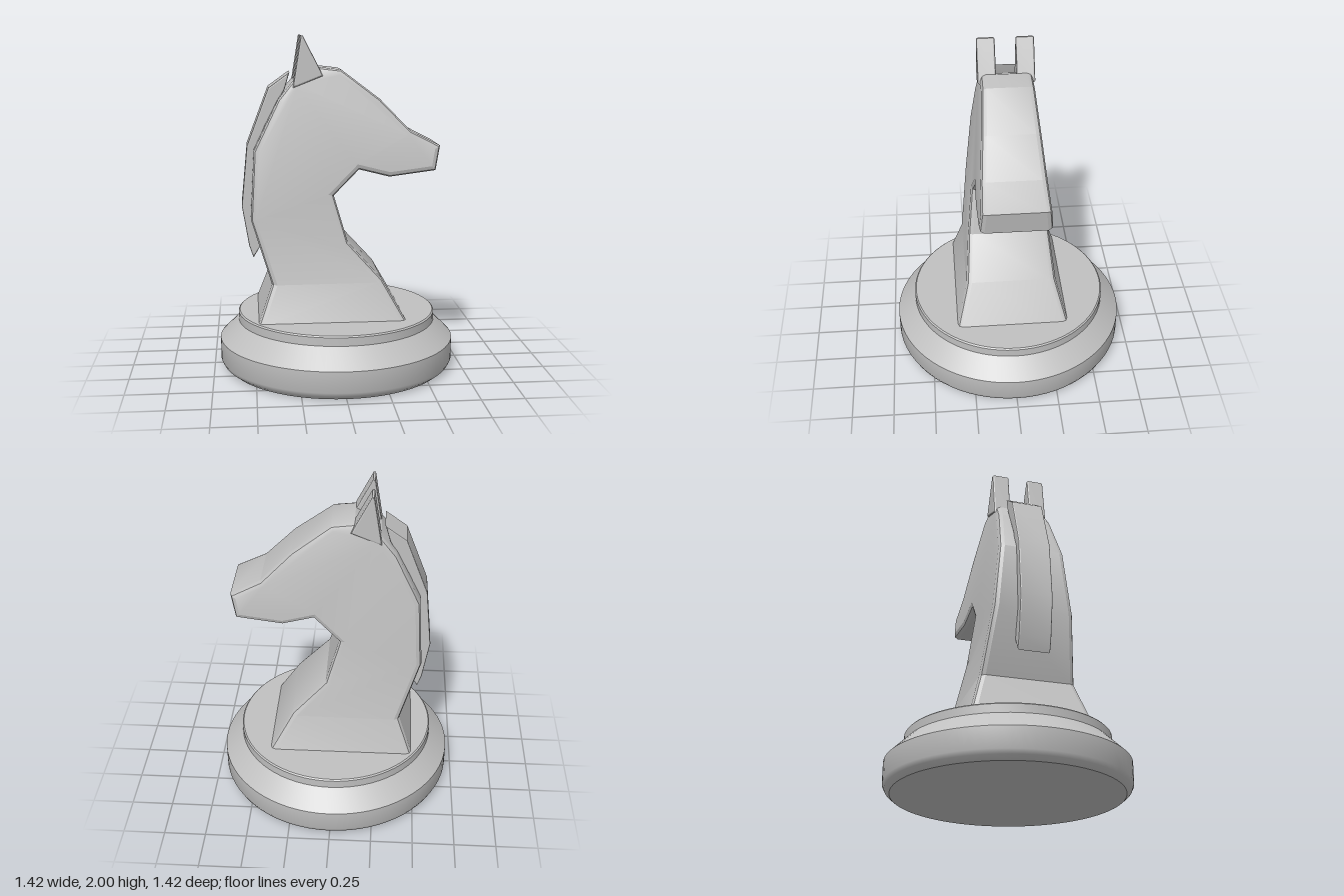
import * as THREE from 'three';
import { toCreasedNormals } from 'three/addons/utils/BufferGeometryUtils.js';

// Move a closed counter-clockwise outline inwards by d, with mitred corners.
function inset(pts, d) {
  const n = pts.length;
  const normal = (a, b) => new THREE.Vector2(b.y - a.y, a.x - b.x).normalize();
  return pts.map((p, i) => {
    const n1 = normal(pts[(i + n - 1) % n], p);
    const n2 = normal(p, pts[(i + 1) % n]);
    return p.clone().addScaledVector(n1.clone().add(n2), -d / (1 + n1.dot(n2)));
  });
}

// Bevelled slab from a side outline; halfWidth(y) tapers its thickness.
// capParts lists the outline indices of each flat area of the side faces.
function slab(outline, bevel, halfWidth, zCentre = 0, capParts = null) {
  const pts = outline.map(([x, y]) => new THREE.Vector2(x, y));
  const n = pts.length;
  const steps = [[bevel, 0], [bevel * 0.3, bevel * 0.3], [0, bevel]];
  const ring = (side, [d, depth]) => inset(pts, d).map((p) =>
    new THREE.Vector3(p.x, p.y, zCentre + side * (halfWidth(p.y) - depth)));
  const rings = [
    ...steps.map((s) => ring(-1, s)),
    ...steps.slice().reverse().map((s) => ring(1, s)),
  ];
  const out = [];
  const tri = (...corners) => corners.forEach((c) => out.push(c.x, c.y, c.z));

  // Rim and bevels
  for (let k = 0; k < rings.length - 1; k++) {
    for (let i = 0; i < n; i++) {
      const j = (i + 1) % n;
      tri(rings[k][i], rings[k][j], rings[k + 1][j]);
      tri(rings[k][i], rings[k + 1][j], rings[k + 1][i]);
    }
  }
  // Side faces
  const back = rings[0], front = rings[rings.length - 1];
  for (const part of capParts || [pts.map((_, i) => i)]) {
    const flat = part.map((i) => new THREE.Vector2(front[i].x, front[i].y));
    for (const face of THREE.ShapeUtils.triangulateShape(flat, [])) {
      const [a, b, c] = face.map((f) => part[f]);
      tri(front[a], front[b], front[c]);
      tri(back[c], back[b], back[a]);
    }
  }
  const geo = new THREE.BufferGeometry();
  geo.setAttribute('position', new THREE.Float32BufferAttribute(out, 3));
  return toCreasedNormals(geo, 0.4);
}

export function createModel() {
  const group = new THREE.Group();
  const grey = new THREE.MeshStandardMaterial({ color: 0xc0c0c0 });
  grey.name = 'light grey';
  const add = (name, geometry) => {
    const mesh = new THREE.Mesh(geometry, grey);
    mesh.name = name;
    group.add(mesh);
  };

  // Round stepped base
  const baseProfile = [
    [0, 0], [0.67, 0], [0.7, 0.025], [0.712, 0.05], [0.712, 0.175],
    [0.6, 0.285], [0.6, 0.335], [0.592, 0.343], [0, 0.343],
  ].map(([r, y]) => new THREE.Vector2(r, y));
  add('base', toCreasedNormals(new THREE.LatheGeometry(baseProfile, 72), 0.6));

  // Neck and head, flared towards the foot
  const head = [
    [-0.495, 0.3], [0.41, 0.3], [0.25, 0.58], [0.05, 0.8], [-0.03, 1.075],
    [0.12, 1.225], [0.3, 1.18], [0.575, 1.215], [0.602, 1.36], [0.425, 1.45],
    [0.245, 1.635], [0.02, 1.805], [-0.11, 1.82], [-0.26, 1.745],
    [-0.35, 1.635], [-0.495, 1.34], [-0.518, 0.94], [-0.4, 0.56],
  ];
  const neckWidth = (y) => (y < 0.58
    ? 0.27 + (0.58 - y) * 0.29
    : 0.27 - (y - 0.58) * 0.0985);
  const last = head.length - 1;
  const upper = head.map((_, i) => i).slice(2);
  add('neckAndHead', slab(head, 0.03, neckWidth, 0, [[0, 1, 2, last], upper]));

  // Mane strip down the back of the neck
  const mane = [
    [-0.505, 0.685], [-0.46, 0.76], [-0.5, 0.95], [-0.475, 1.32],
    [-0.43, 1.47], [-0.31, 1.69], [-0.28, 1.79], [-0.405, 1.7],
    [-0.535, 1.36], [-0.57, 1.0], [-0.53, 0.76],
  ];
  add('mane', slab(mane, 0.008, () => 0.095));

  // Pair of pointed ears
  const ear = [[-0.265, 1.7], [-0.09, 1.77], [-0.11, 1.815], [-0.205, 2.0], [-0.217, 2.0]];
  for (const side of [-1, 1]) {
    add(side > 0 ? 'frontEar' : 'backEar', slab(ear, 0.01, () => 0.053, side * 0.112));
  }
  return group;
}
